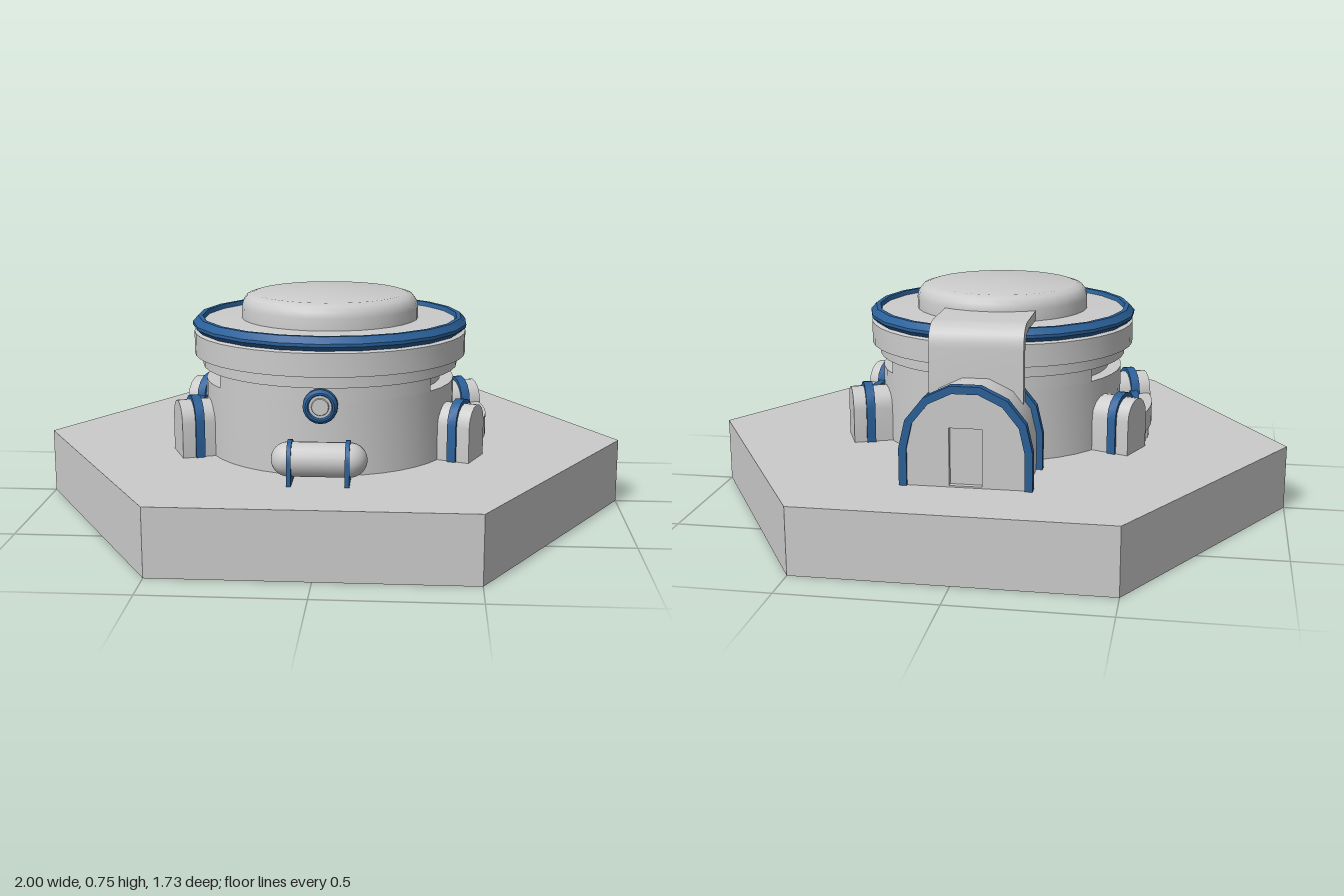
import * as THREE from 'three';
import { toCreasedNormals } from 'three/addons/utils/BufferGeometryUtils.js';

const grey = new THREE.MeshStandardMaterial({ color: 0xcccccc });
const blue = new THREE.MeshStandardMaterial({ color: 0x2a6099 });
const BASE = 0.22; // top of the hexagonal ground slab

function add(parent, name, geometry, material = grey, crease = 0.5) {
  const mesh = new THREE.Mesh(toCreasedNormals(geometry, crease), material);
  mesh.name = name;
  parent.add(mesh);
  return mesh;
}

// Profile of [radius, height] pairs, listed from bottom to top
function lathe(points, sides = 40) {
  return new THREE.LatheGeometry(points.map(([r, y]) => new THREE.Vector2(r, y)), sides);
}

// Curved block between two radii and two angles (angle 0 points to +x)
function sector(r0, r1, y0, y1, a0, a1, steps = 12) {
  const shape = new THREE.Shape();
  shape.absarc(0, 0, r1, a0, a1, false);
  shape.absarc(0, 0, r0, a1, a0, true);
  shape.closePath();
  const geo = new THREE.ExtrudeGeometry(shape, { depth: y1 - y0, bevelEnabled: false, curveSegments: steps });
  return geo.rotateX(-Math.PI / 2).translate(0, y0, 0);
}

// Outline with straight legs and a faceted round top
function archShape(w, spring, segments) {
  const shape = new THREE.Shape();
  shape.moveTo(-w, 0);
  shape.lineTo(w, 0);
  for (let i = 0; i <= segments; i++) {
    const a = (i / segments) * Math.PI;
    shape.lineTo(w * Math.cos(a), spring + w * Math.sin(a));
  }
  return shape;
}

function extrude(shape, z0, z1, y = BASE) {
  return new THREE.ExtrudeGeometry(shape, { depth: z1 - z0, bevelEnabled: false, curveSegments: 8 }).translate(0, y, z0);
}

function buildDrum(parent) {
  const slot = 0.62; // half angle of each side window
  add(parent, 'lowerWall', lathe([[0.42, BASE], [0.42, 0.46], [0.36, 0.46]]));
  add(parent, 'windowBack', lathe([[0.375, 0.455], [0.375, 0.51]]));
  add(parent, 'frontWallBand', sector(0.36, 0.42, 0.46, 0.505, slot - Math.PI, -slot, 20));
  add(parent, 'backWallBand', sector(0.36, 0.42, 0.46, 0.505, slot, Math.PI - slot, 20));
  add(parent, 'upperWall', lathe([[0.36, 0.505], [0.43, 0.505], [0.43, 0.545]]));
  add(parent, 'collar', lathe([[0.42, 0.545], [0.458, 0.545], [0.458, 0.62], [0.43, 0.628]]));
  add(parent, 'roofRing', lathe([[0.43, 0.625], [0.447, 0.625], [0.463, 0.64], [0.463, 0.65], [0.445, 0.67], [0.43, 0.67], [0.425, 0.655]], 22), blue);
  add(parent, 'roof', lathe([[0.435, 0.655], [0.29, 0.662]]));
  add(parent, 'roofCap', lathe([[0.298, 0.65], [0.298, 0.7], [0.293, 0.72], [0.28, 0.737], [0.255, 0.745], [0, 0.747]], 32), grey, 0.7);

  // Round window on the front wall
  const porthole = new THREE.Group();
  porthole.name = 'porthole';
  porthole.position.set(0, 0.448, 0.415);
  parent.add(porthole);
  const rim = lathe([[0.055, -0.02], [0.055, 0.022], [0.046, 0.033], [0.04, 0.033], [0.034, 0.018]], 20);
  add(porthole, 'portholeRim', rim.rotateX(Math.PI / 2), blue);
  const face = lathe([[0.045, 0], [0.045, 0.024], [0.028, 0.024], [0.026, 0.029], [0, 0.029]], 20);
  add(porthole, 'portholeGlass', face.rotateX(Math.PI / 2));
}

function buildTunnel(parent) {
  // Vaulted entrance with a recessed door facing the back
  add(parent, 'tunnel', extrude(archShape(0.19, 0.12, 7), -0.59, -0.25));
  const front = archShape(0.19, 0.12, 7);
  const hole = new THREE.Path();
  hole.moveTo(-0.052, 0.005);
  hole.lineTo(-0.052, 0.19);
  hole.lineTo(0.052, 0.19);
  hole.lineTo(0.052, 0.005);
  hole.closePath();
  front.holes.push(hole);
  add(parent, 'doorWall', extrude(front, -0.609, -0.585));
  for (const [z0, z1] of [[-0.618, -0.587], [-0.392, -0.362]]) {
    const arch = archShape(0.21, 0.12, 7);
    arch.holes.push(new THREE.Path(archShape(0.185, 0.12, 7).getPoints()));
    add(parent, 'tunnelArch', extrude(arch, z0, z1), blue, 0.2);
  }
}

function buildCanopy(parent) {
  // Bent strip from the roof down onto the tunnel, drawn in the side plane
  const s = new THREE.Shape();
  s.moveTo(0.15, 0.665);
  s.lineTo(0.335, 0.665);
  s.quadraticCurveTo(0.4, 0.66, 0.4, 0.59);
  s.lineTo(0.4, 0.43);
  s.lineTo(0.43, 0.43);
  s.lineTo(0.43, 0.62);
  s.quadraticCurveTo(0.428, 0.695, 0.35, 0.696);
  s.lineTo(0.15, 0.696);
  s.closePath();
  const geo = extrude(s, -0.153, 0.153, 0).rotateY(Math.PI / 2);
  add(parent, 'canopy', geo);
}

function buildCanister(parent) {
  // Tank lying in front of the wall, held by two straps
  const tank = new THREE.CapsuleGeometry(0.055, 0.19, 8, 16).rotateZ(Math.PI / 2);
  add(parent, 'canister', tank, grey, 0.8).position.set(0, 0.292, 0.575);
  for (const x of [-0.09, 0.09]) {
    const strap = extrude(archShape(0.061, 0.072, 12), -0.007, 0.007).rotateY(Math.PI / 2);
    add(parent, 'canisterStrap', strap, blue).position.set(x, 0, 0.575);
  }
}

function buildSidePods(parent, side) {
  const group = new THREE.Group();
  group.name = side > 0 ? 'leftPods' : 'rightPods';
  group.position.z = 0.07;
  group.rotation.y = side > 0 ? 0 : Math.PI;
  parent.add(group);
  const angle = 0.39;
  for (const s of [-1, 1]) {
    const pod = new THREE.Group();
    pod.name = 'pod';
    pod.rotation.y = Math.PI / 2 + s * angle;
    group.add(pod);
    add(pod, 'podBody', extrude(archShape(0.068, 0.115, 8), 0.36, 0.535));
    add(pod, 'podBand', extrude(archShape(0.077, 0.12, 8), 0.462, 0.492), blue);
  }
  // Curved walkway joining both pods
  add(group, 'railFoot', sector(0.4, 0.505, BASE, 0.275, -angle, angle));
  add(group, 'rail', sector(0.4, 0.533, 0.265, 0.335, -angle, angle));
  add(group, 'railStripe', sector(0.462, 0.488, 0.33, 0.348, -angle, angle), blue);
  for (let i = -3; i <= 3; i++) {
    add(group, 'railRib', sector(0.5, 0.525, BASE, 0.27, i * 0.08 - 0.012, i * 0.08 + 0.012, 1));
  }
}

export function createModel() {
  const model = new THREE.Group();
  model.name = 'outpost';

  // Hexagonal slab with corners on the x axis
  const slab = new THREE.CylinderGeometry(1, 1, BASE, 6).rotateY(Math.PI / 2);
  add(model, 'groundSlab', slab.translate(0, BASE / 2, 0));

  const drum = new THREE.Group();
  drum.name = 'drum';
  drum.position.z = 0.092;
  model.add(drum);
  buildDrum(drum);

  buildTunnel(model);
  buildCanopy(model);
  buildCanister(model);
  for (const side of [-1, 1]) buildSidePods(model, side);
  return model;
}
